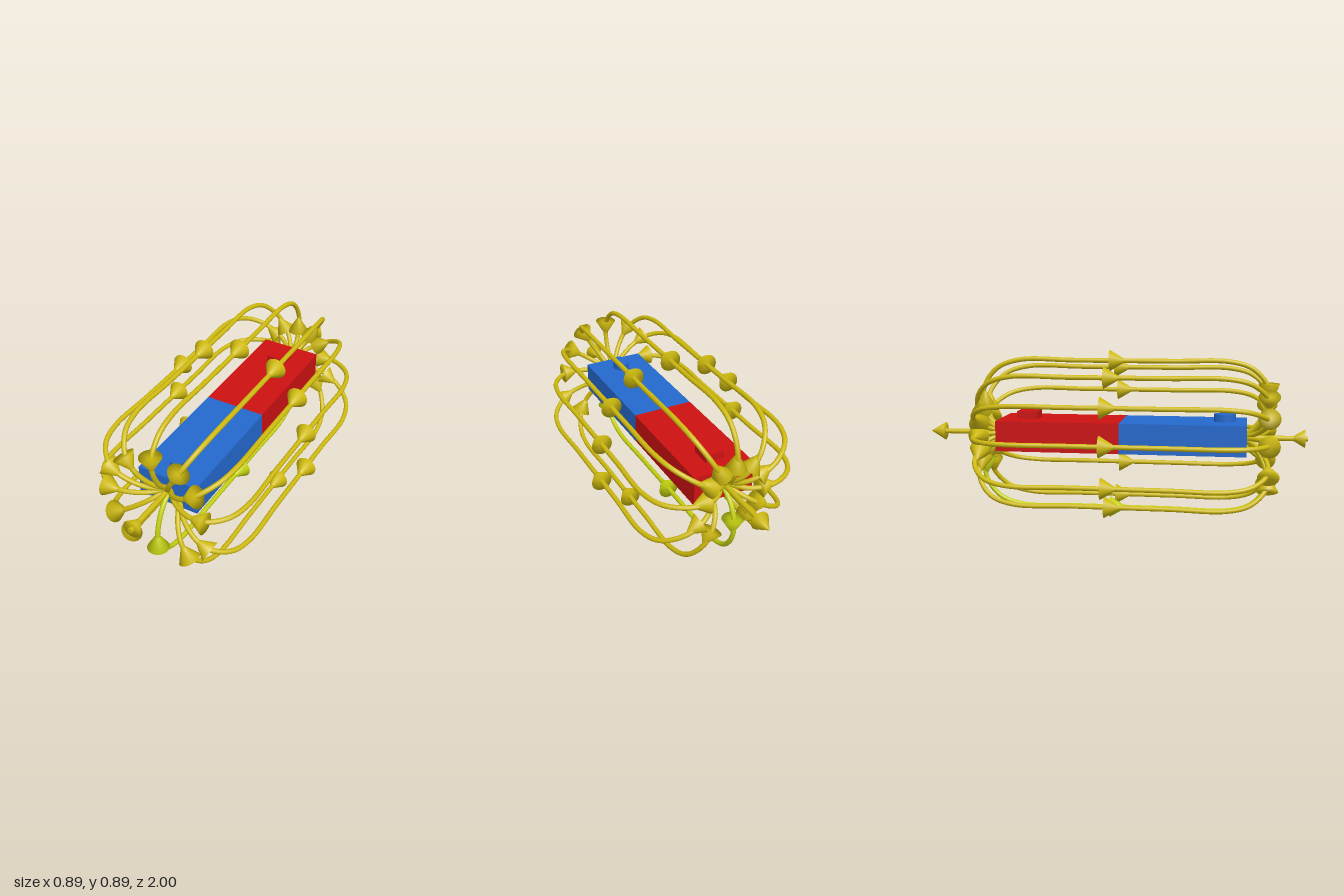
import * as THREE from 'three';

const CY = 0.45; // height of the magnet axis
const gold = new THREE.MeshStandardMaterial({ color: 0xcdb90f });
const lime = new THREE.MeshStandardMaterial({ color: 0xc3d012 });
const red = new THREE.MeshStandardMaterial({ color: 0xcc1111 });
const blue = new THREE.MeshStandardMaterial({ color: 0x2468cc });

function add(parent, name, geometry, material, x = 0, y = 0, z = 0) {
  const mesh = new THREE.Mesh(geometry, material);
  mesh.name = name;
  mesh.position.set(x, y, z);
  parent.add(mesh);
  return mesh;
}

// Solid cone with softly shaded rim; its base is at the origin and its tip at +y
function coneGeometry(radius, height) {
  const profile = [[0, 0], [radius, 0], [0, height]].map(p => new THREE.Vector2(...p));
  return new THREE.LatheGeometry(profile, 28);
}

function addArrow(parent, name, geometry, material, base, direction) {
  const cone = add(parent, name, geometry, material, base.x, base.y, base.z);
  cone.quaternion.setFromUnitVectors(new THREE.Vector3(0, 1, 0), direction);
}

export function createModel() {
  const model = new THREE.Group();
  model.name = 'barMagnetWithField';

  // Two-coloured bar
  const bar = new THREE.Group();
  bar.name = 'barMagnet';
  model.add(bar);
  add(bar, 'redPole', new THREE.BoxGeometry(0.32, 0.157, 0.645), red, 0, 0.453, -0.2775);
  add(bar, 'bluePole', new THREE.BoxGeometry(0.32, 0.157, 0.645), blue, 0, 0.453, 0.3675);

  // Plain raised pole markers
  add(bar, 'redMarker', new THREE.BoxGeometry(0.1, 0.04, 0.11), red, 0, 0.551, -0.455);
  const marker = add(bar, 'blueMarker', new THREE.CylinderGeometry(0.04, 0.04, 0.04, 24), blue, 0, 0.551, 0.577);
  marker.scale.z = 1.4;

  // Each loop: x and y of its straight run, then x and y of its root on the pole
  const loops = [
    [-0.01, 0.84], [0.195, 0.79], [0.32, 0.655], [0.38, 0.453],
    [0.39, 0.232, 0.05, 0.41], [0.23, 0.078, 0.05, 0.405],
    [0, 0.06], [-0.21, 0.107], [-0.34, 0.232], [-0.39, 0.45],
    [-0.355, 0.635], [-0.22, 0.77],
  ];
  const arrowHead = coneGeometry(0.055, 0.092);
  const forward = new THREE.Vector3(0, 0, 1);

  loops.forEach(([x, y, rootX = 0, rootY = CY], i) => {
    const loop = new THREE.Group();
    loop.name = `fieldLoop${i + 1}`;
    model.add(loop);
    const material = i === 6 ? lime : gold;
    const reach = Math.hypot(x - rootX, y - rootY);
    const outward = new THREE.Vector3(x - rootX, y - rootY, 0).normalize();
    const at = (r, z) => new THREE.Vector3(rootX, rootY, z).addScaledVector(outward, r);

    // Line from the red pole round to the blue pole
    const path = [
      [0.01, -0.59], [0.07, -0.67], [0.15, -0.705], [reach - 0.14, -0.695],
      [reach - 0.045, -0.625], [reach, -0.5], [reach, -0.2], [reach, 0.3],
      [reach, 0.6], [reach - 0.035, 0.715], [reach - 0.12, 0.79],
      [reach - 0.2, 0.795], [0.08, 0.75], [0.01, 0.68],
    ].map(p => at(...p));
    const curve = new THREE.CatmullRomCurve3(path, false, 'centripetal');
    add(loop, 'fieldLine', new THREE.TubeGeometry(curve, 90, 0.0125, 12), material);

    // Arrow heads leaving the red pole, along the run and entering the blue pole
    addArrow(loop, 'leavingArrow', arrowHead, material, at(0.14, -0.695), outward);
    addArrow(loop, 'middleArrow', arrowHead, material, at(reach, -0.022), forward);
    addArrow(loop, 'enteringArrow', arrowHead, material, at(reach - 0.11, 0.797), outward.clone().negate());
  });

  // Straight lines along the axis at both ends
  const backward = new THREE.Vector3(0, 0, -1);
  const axisHead = coneGeometry(0.047, 0.08);
  for (const [name, start, end, base] of [
    ['rearAxis', -0.95, -0.59, -0.92],
    ['frontAxis', 0.68, 1.0, 0.985],
  ]) {
    const axis = new THREE.Group();
    axis.name = name;
    model.add(axis);
    const rod = add(axis, 'axisLine', new THREE.CylinderGeometry(0.0135, 0.0135, end - start, 16), gold,
      0, CY, (start + end) / 2);
    rod.rotation.x = Math.PI / 2;
    addArrow(axis, 'axisArrow', axisHead, gold, new THREE.Vector3(0, CY, base), backward);
  }

  return model;
}
